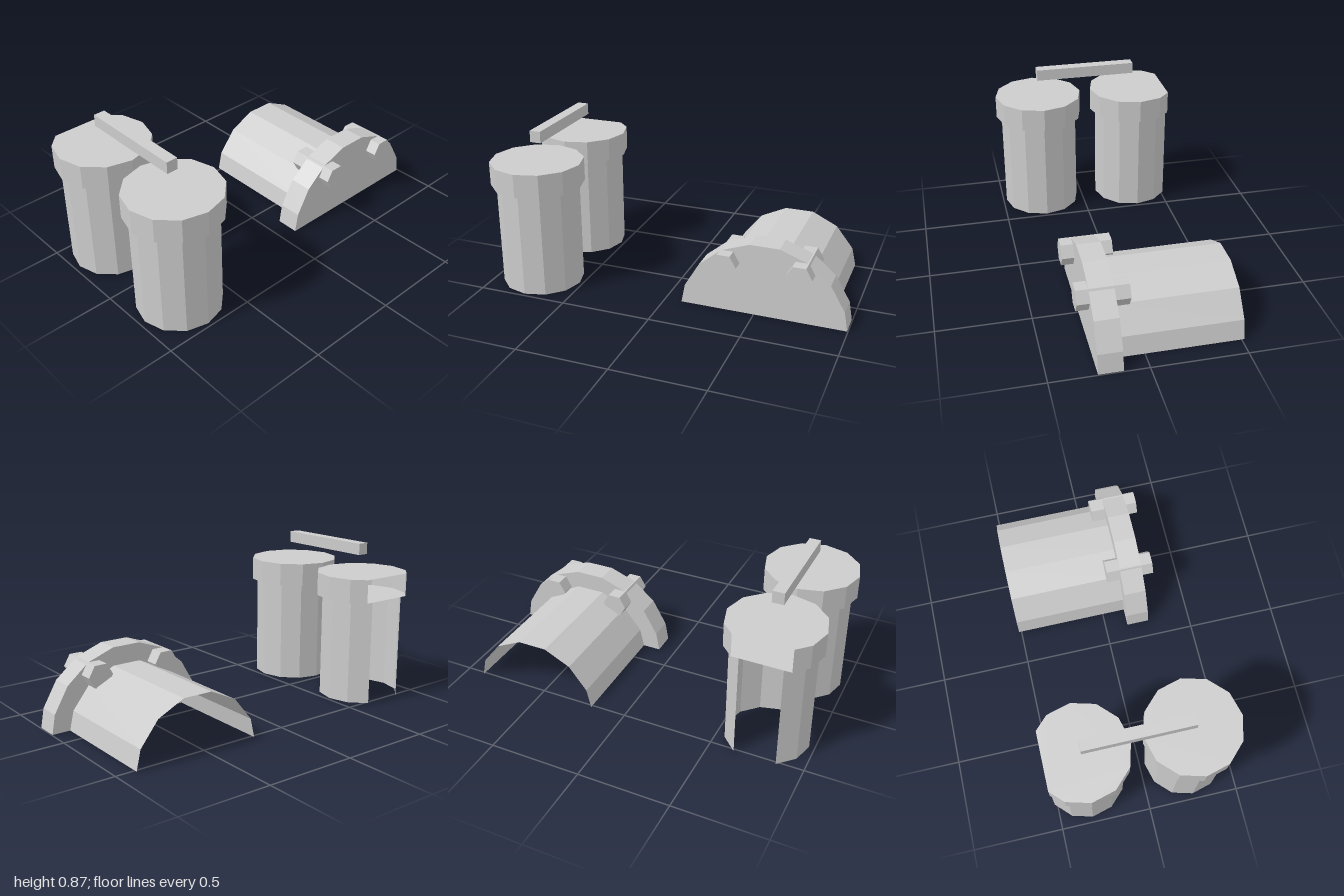
import * as THREE from 'three';

const grey = new THREE.MeshStandardMaterial({ color: 0xcccccc, flatShading: true, side: THREE.DoubleSide });
grey.name = 'plain grey';

// Points of a regular polygon arc, drawn counter-clockwise from a start angle.
function arc(radius, sides, start, count, cy = 0) {
  const pts = [];
  for (let i = 0; i <= count; i++) {
    const a = start + (i / sides) * Math.PI * 2;
    pts.push(new THREE.Vector2(radius * Math.cos(a), radius * Math.sin(a) + cy));
  }
  return pts;
}

// Keep the part of a path above (sign 1) or below (sign -1) a level line.
function clip(path, level, sign) {
  const out = [];
  path.forEach((p, i) => {
    const d = sign * (p.y - level);
    const q = path[i - 1];
    if (q) {
      const e = sign * (q.y - level);
      if (d * e < 0) out.push(q.clone().lerp(p, e / (e - d)));
    }
    if (d >= 0) out.push(p);
  });
  return out;
}

// Thin wall along a path from z0 to z1, with an optional lid at both ends.
function shell(name, path, z0, z1, lids) {
  const group = new THREE.Group();
  group.name = name;
  const v = [];
  for (let i = 0; i < path.length - 1; i++) {
    const a = path[i], b = path[i + 1];
    v.push(a.x, a.y, z0, b.x, b.y, z0, b.x, b.y, z1);
    v.push(a.x, a.y, z0, b.x, b.y, z1, a.x, a.y, z1);
  }
  const wall = new THREE.BufferGeometry();
  wall.setAttribute('position', new THREE.Float32BufferAttribute(v, 3));
  wall.computeVertexNormals();
  const wallMesh = new THREE.Mesh(wall, grey);
  wallMesh.name = name + 'Wall';
  group.add(wallMesh);
  if (lids) {
    for (const z of [z0, z1]) {
      const lid = new THREE.Mesh(new THREE.ShapeGeometry(new THREE.Shape(path)), grey);
      lid.name = name + 'Lid';
      lid.position.z = z;
      if (z === z0) { // face the lower lid outwards
        lid.rotation.y = Math.PI;
        lid.scale.x = -1;
      }
      group.add(lid);
    }
  }
  return group;
}

// Upright drum with a wider closed cap; a cut drum is open at its back.
function drum(name, z, cut) {
  const group = new THREE.Group();
  group.name = name;
  const ring = (r) => {
    const path = arc(r, 12, Math.PI / 2, 12);
    return cut ? clip(path, 0.195, -1) : path;
  };
  group.add(shell('drumBody', ring(0.2252), 0, 0.58, false));
  group.add(shell('drumCap', ring(0.255), 0.58, 0.71, true));
  group.rotation.x = -Math.PI / 2;
  group.position.set(-0.745, 0, z);
  return group;
}

export function createModel() {
  const model = new THREE.Group();
  model.name = 'model';

  // Pair of drums and the bar above them
  model.add(drum('frontDrum', 0.255, false), drum('backDrum', -0.32, true));
  const bar = new THREE.Mesh(new THREE.BoxGeometry(0.062, 0.064, 0.58), grey);
  bar.name = 'topBar';
  bar.position.set(-0.745, 0.838, -0.032);
  model.add(bar);

  // Half-sunk horizontal barrel with its end flange
  const barrel = new THREE.Group();
  barrel.name = 'barrel';
  barrel.position.x = 0.545;
  const half = (r, sides) => clip(arc(r, sides, 0, sides / 2, -0.053), 0, 1);
  barrel.add(shell('barrelTunnel', half(0.362, 14), -0.515, 0.13, false));
  barrel.add(shell('endFlange', half(0.46, 18), 0.13, 0.257, true));

  // Hexagonal bolts through the flange
  for (const side of [-1, 1]) {
    const bolt = new THREE.Mesh(new THREE.CylinderGeometry(0.07, 0.07, 0.27, 6), grey);
    bolt.name = 'bolt';
    bolt.geometry.rotateY(Math.PI / 2).rotateX(Math.PI / 2);
    bolt.position.set(side * 0.2, 0.286, 0.187);
    barrel.add(bolt);
  }
  model.add(barrel);
  return model;
}
